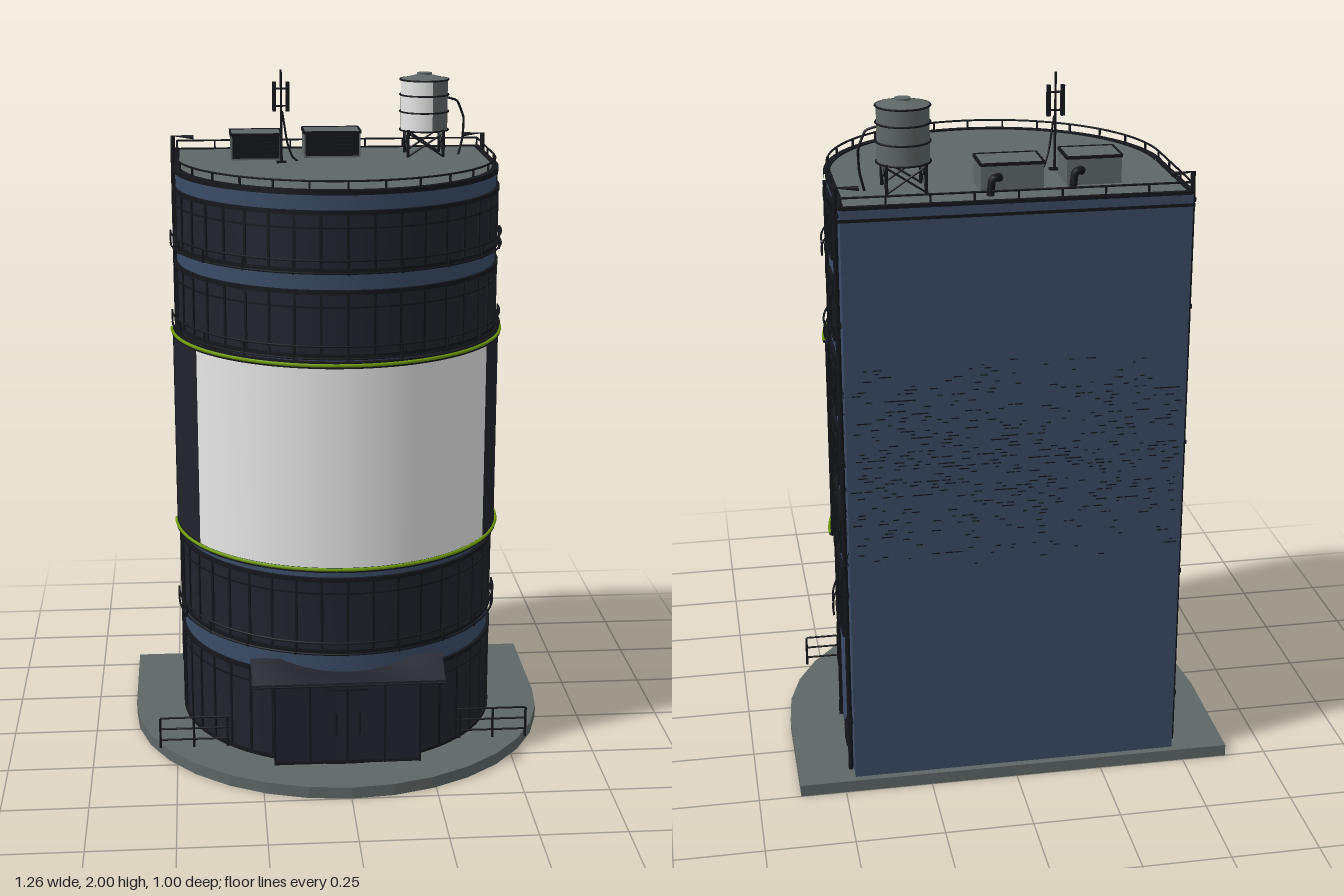
import * as THREE from 'three';
import { mergeGeometries, toCreasedNormals } from 'three/addons/utils/BufferGeometryUtils.js';

const PI = Math.PI, ZC = -0.13, R = 0.47, BACK = 0.48, ROOF = 1.725;

export function createModel() {
  const root = new THREE.Group();
  root.name = 'roundFrontBuilding';
  const mat = (name, color, side = THREE.FrontSide) => {
    const m = new THREE.MeshStandardMaterial({ color, side });
    m.name = name;
    return m;
  };
  const blue = mat('blueWall', 0x3a4c66);
  const glass = mat('darkGlass', 0x22222d);
  const black = mat('blackMetal', 0x14161b);
  const grey = mat('concreteGrey', 0x5f6766);
  const white = mat('whitePanel', 0xf0f0f0, THREE.DoubleSide);
  const green = mat('greenTrim', 0x6f9a08);

  // Merges a list of pieces into one named mesh
  const add = (name, material, ...geos) => {
    const flat = geos.flat().map(g => (g.index ? g.toNonIndexed() : g));
    const mesh = new THREE.Mesh(flat.length > 1 ? mergeGeometries(flat) : flat[0], material);
    mesh.name = name;
    root.add(mesh);
    return mesh;
  };
  const box = (w, h, d, x, y, z) => new THREE.BoxGeometry(w, h, d).translate(x, y, z);
  const cyl = (r0, r1, h, x, y, z, n = 16) => new THREE.CylinderGeometry(r1, r0, h, n).translate(x, y, z);
  const v = p => new THREE.Vector3(...p);
  const bar = (a, b, r = 0.003) => new THREE.TubeGeometry(new THREE.LineCurve3(v(a), v(b)), 1, r, 6);
  const pipe = (pts, r) => new THREE.TubeGeometry(new THREE.CatmullRomCurve3(pts.map(v), false, 'catmullrom', 0.2), 24, r, 8);
  // Half-round outline with a flat back, raised from y0 to y1
  const dShape = (w, back, y0, y1, seg) => {
    const s = new THREE.Shape();
    s.moveTo(w, back);
    s.lineTo(-w, back);
    s.lineTo(-w, -ZC);
    s.absarc(0, -ZC, w, PI, 2 * PI, false);
    return new THREE.ExtrudeGeometry(s, { depth: y1 - y0, bevelEnabled: false, curveSegments: seg })
      .rotateX(-PI / 2).translate(0, y0, 0);
  };
  // Solid half ring around the front
  const ring = (r0, r1, y0, y1) => toCreasedNormals(new THREE.LatheGeometry(
    [[r0, y0], [r1, y0], [r1, y1], [r0, y1], [r0, y0]].map(p => new THREE.Vector2(...p)),
    48, -PI / 2, PI), 0.5).translate(0, 0, ZC);
  const rail = (r, y, t) => new THREE.TorusGeometry(r, t, 6, 48, PI).rotateX(PI / 2).translate(0, y, ZC);
  // Upright strip at an angle around the front
  const upright = (r, a, w, y0, y1, d = 0.008) =>
    box(w, y1 - y0, d, 0, (y0 + y1) / 2, r).rotateY(a).translate(0, 0, ZC);

  // Ground slab, walls, roof
  add('groundSlab', grey, dShape(0.63, 0.5, 0, 0.035, 8));
  add('walls', blue, toCreasedNormals(dShape(R, BACK, 0.035, 1.722, 24), 0.4));
  add('roofDeck', grey, dShape(0.458, 0.47, 1.72, 1.728, 24));
  add('roofEdge', black, ring(0.457, 0.476, 1.718, 1.732),
    box(0.93, 0.01, 0.012, 0, 1.727, -0.474),
    [-1, 1].map(s => box(0.014, 0.012, 0.345, s * 0.466, 1.727, -0.303)),
    box(0.95, 0.008, 0.006, 0, 1.695, -0.481));

  // Curved window bands with mullions, sills and guard rails
  for (const [y0, y1, guard] of [[0.04, 0.31, 0], [0.39, 0.61, 1], [1.27, 1.45, 1], [1.51, 1.67, 1]]) {
    add('windowBand', glass, ring(0.46, 0.474, y0, y1));
    const frame = [ring(0.46, 0.48, y0 - 0.006, y0 + 0.006), ring(0.46, 0.48, y1 - 0.006, y1 + 0.006),
      ring(0.46, 0.477, y1 - 0.045, y1 - 0.04)];
    for (let i = 0; i <= 20; i++) frame.push(upright(0.474, (i / 20 - 0.5) * PI, 0.007, y0, y1));
    add('windowFrames', black, frame);
    if (!guard) continue;
    const guards = [rail(0.488, y0 + 0.03, 0.003), rail(0.488, y0 - 0.005, 0.003)];
    for (let i = 0; i <= 10; i++) guards.push(upright(0.488, (i / 10 - 0.5) * PI, 0.005, y0 - 0.01, y0 + 0.03, 0.005));
    add('guardRail', black, guards);
  }

  // Large curved display panel with green trims
  add('displayBacking', glass, ring(0.46, 0.486, 0.65, 1.24));
  const half = 59 * PI / 180;
  add('displayPanel', white, new THREE.CylinderGeometry(0.489, 0.489, 0.585, 36, 1, true, -half, half * 2)
    .translate(0, 0.945, ZC));
  for (const y of [0.647, 1.247]) {
    add('greenTrim', green, rail(0.49, y, 0.005));
    add('trimLedge', black, ring(0.46, 0.492, y - 0.009, y - 0.004), ring(0.46, 0.488, y + 0.004, y + 0.008));
  }

  // Side walls: end strips, windows, vents, drain pipes
  for (const s of [-1, 1]) {
    add('endStrip', black, box(0.016, 1.67, 0.008, s * 0.472, 0.88, -0.134),
      box(0.022, 0.6, 0.01, s * 0.477, 0.945, -0.134));
    const panes = [], frames = [];
    for (const [y0, y1] of [[0.4, 0.62], [0.67, 0.84], [0.88, 1.05], [1.09, 1.26], [1.31, 1.48], [1.54, 1.7]]) {
      const h = y1 - y0, y = (y0 + y1) / 2, x = s * 0.473;
      panes.push(box(0.006, h, 0.13, s * 0.471, y, -0.235));
      for (const z of [-0.3, -0.235, -0.17]) frames.push(box(0.012, h, 0.006, x, y, z));
      for (const yy of [y0, y1 - 0.04, y1]) frames.push(box(0.012, 0.006, 0.136, x, yy, -0.235));
    }
    add('sideWindows', glass, panes);
    add('sideWindowFrames', black, frames);
    const vents = [];
    for (const y of [0.115, 0.835, 1.405]) {
      vents.push(box(0.012, 0.07, 0.065, s * 0.474, y, -0.365));
      for (let i = -2; i <= 2; i++) vents.push(box(0.008, 0.005, 0.058, s * 0.481, y + i * 0.013, -0.365));
    }
    add('wallVents', black, vents);
    add('drainPipe', black,
      pipe([[s * 0.479, 0.04, -0.44], [s * 0.479, 1.0, -0.44], [s * 0.479, 1.755, -0.44], [s * 0.465, 1.77, -0.44], [s * 0.415, 1.77, -0.44]], 0.007),
      [0.2, 0.6, 1.0, 1.4, 1.7].map(y => box(0.02, 0.012, 0.022, s * 0.476, y, -0.44)));
  }

  // Scattered dark brick joints on the back and side walls
  let seed = 7;
  const rnd = () => (seed = (seed * 16807) % 2147483647) / 2147483647;
  const joints = [];
  for (let i = 0; i < 520; i++) {
    const y = 0.66 + Math.round((rnd() + rnd()) * 34) * 0.01;
    joints.push(box(0.008 + rnd() * 0.018, 0.003, 0.002, (rnd() - 0.5) * 0.9, y, -0.4805));
  }
  for (let i = 0; i < 110; i++)
    joints.push(box(0.002, 0.004, 0.008 + rnd() * 0.012, (i % 2 ? 1 : -1) * 0.4705,
      0.7 + Math.round(rnd() * 55) * 0.01, -0.31 - rnd() * 0.15));
  add('brickJoints', black, joints);

  // Entrance porch, doors and swept canopy
  add('entrance', glass, box(0.43, 0.26, 0.1, 0, 0.165, 0.293));
  const doorFrame = [-0.213, -0.11, 0, 0.11, 0.213].map(x => box(0.006, 0.26, 0.004, x, 0.165, 0.345));
  doorFrame.push(box(0.43, 0.008, 0.006, 0, 0.292, 0.344), box(0.43, 0.008, 0.006, 0, 0.04, 0.344));
  for (const s of [-1, 1]) doorFrame.push(bar([s * 0.035, 0.13, 0.352], [s * 0.035, 0.2, 0.352], 0.004));
  add('doorFrames', black, doorFrame);
  const canopy = new THREE.BoxGeometry(0.56, 0.012, 0.095, 24, 1, 4);
  const p = canopy.attributes.position;
  for (let i = 0; i < p.count; i++) {
    const t = 0.5 - p.getZ(i) / 0.095; // 0 at the front edge, 1 at the wall
    const lift = 0.022 * (1 - Math.cos(Math.min(1, Math.abs(p.getX(i)) / 0.26) * PI)) / 2;
    p.setY(i, p.getY(i) + 0.306 + t * (0.022 + lift));
  }
  canopy.computeVertexNormals();
  add('canopy', glass, canopy.translate(0, 0, 0.345));
  add('canopyRibs', black, [-0.275, -0.18, -0.09, 0, 0.09, 0.18, 0.275].map(x =>
    bar([x, 0.3, 0.388], [x, 0.322, 0.3], 0.003)), bar([-0.28, 0.303, 0.391], [0.28, 0.303, 0.391], 0.003));

  // Handrails on the slab
  for (const s of [-1, 1])
    add('handrail', black, [0.06, 0.095, 0.13].map(y => bar([s * 0.34, y, 0.203], [s * 0.55, y, 0.203])),
      [0.35, 0.45, 0.55].map(x => bar([s * x, 0.035, 0.203], [s * x, 0.13, 0.203], 0.004)));

  // Roof railing
  const posts = [rail(0.466, 1.755, 0.003), bar([-0.466, 1.755, -0.474], [0.466, 1.755, -0.474])];
  for (let i = 0; i <= 14; i++) posts.push(upright(0.466, (i / 14 - 0.5) * PI, 0.005, ROOF, 1.755, 0.005));
  for (let i = 0; i <= 8; i++) posts.push(box(0.005, 0.03, 0.005, -0.466 + i * 0.1165, 1.74, -0.474));
  for (const s of [-1, 1]) {
    posts.push(bar([s * 0.466, 1.755, -0.474], [s * 0.466, 1.755, ZC]));
    for (const z of [-0.36, -0.245]) posts.push(box(0.005, 0.03, 0.005, s * 0.466, 1.74, z));
  }
  add('roofRailing', black, posts);

  // Air handling units with louvres and ducts
  for (const [x, z, w, d] of [[-0.23, -0.293, 0.15, 0.115], [0, -0.328, 0.17, 0.115]]) {
    add('airUnit', grey, box(w, 0.078, d, x, 1.766, z));
    const f = z + d / 2, trim = [box(w - 0.01, 0.066, 0.004, x, 1.766, f)];
    for (let i = 0; i < 5; i++) trim.push(box(w - 0.02, 0.004, 0.006, x, 1.742 + i * 0.012, f + 0.002));
    for (const s of [-1, 1]) {
      trim.push(box(0.006, 0.008, d, x + s * w / 2, 1.803, z), box(w, 0.008, 0.006, x, 1.803, z + s * d / 2));
    }
    add('airUnitTrim', black, trim);
    add('airDuct', black, pipe([[x + 0.035, 1.765, z - d / 2 + 0.005], [x + 0.042, 1.775, z - d / 2 - 0.022],
      [x + 0.06, 1.77, z - d / 2 - 0.03], [x + 0.065, ROOF, z - d / 2 - 0.03]], 0.011));
  }

  // Water tank on a braced stand
  const tx = 0.28, tz = -0.31;
  add('waterTank', grey, cyl(0.071, 0.071, 0.155, tx, 1.88, tz, 24), cyl(0.071, 0.022, 0.012, tx, 1.963, tz, 24),
    cyl(0.022, 0.022, 0.008, tx, 1.971, tz));
  add('tankPale', white, new THREE.CylinderGeometry(0.0725, 0.0725, 0.145, 14, 1, true, -1.4, 1.65).translate(tx, 1.88, tz));
  const stand = [1.805, 1.86, 1.91, 1.955].map(y =>
    new THREE.TorusGeometry(0.073, 0.0028, 6, 28).rotateX(PI / 2).translate(tx, y, tz));
  for (let i = 0; i < 4; i++) {
    const at = (k, y) => [tx + 0.075 * Math.cos((k + 0.5) * PI / 2), y, tz + 0.075 * Math.sin((k + 0.5) * PI / 2)];
    stand.push(bar(at(i, ROOF), at(i, 1.81), 0.005), bar(at(i, ROOF + 0.005), at(i + 1, 1.8)), bar(at(i + 1, ROOF + 0.005), at(i, 1.8)));
  }
  stand.push(pipe([[0.35, 1.9, tz], [0.38, 1.89, tz], [0.4, 1.84, tz], [0.398, 1.78, tz], [0.385, ROOF, tz]], 0.0035));
  add('tankStand', black, stand);

  // Antenna mast
  add('antenna', black, cyl(0.004, 0.003, 0.275, -0.157, 1.8625, -0.18, 8),
    [-0.177, -0.138].map(x => box(0.011, 0.085, 0.012, x, 1.922, -0.18)),
    [1.895, 1.945].map(y => bar([-0.177, y, -0.18], [-0.138, y, -0.18])),
    pipe([[-0.154, 1.88, -0.18], [-0.14, 1.79, -0.185], [-0.125, 1.745, -0.195], [-0.105, ROOF, -0.212]], 0.003),
    box(0.03, 0.006, 0.02, -0.157, 1.73, -0.18));
  return root;
}
